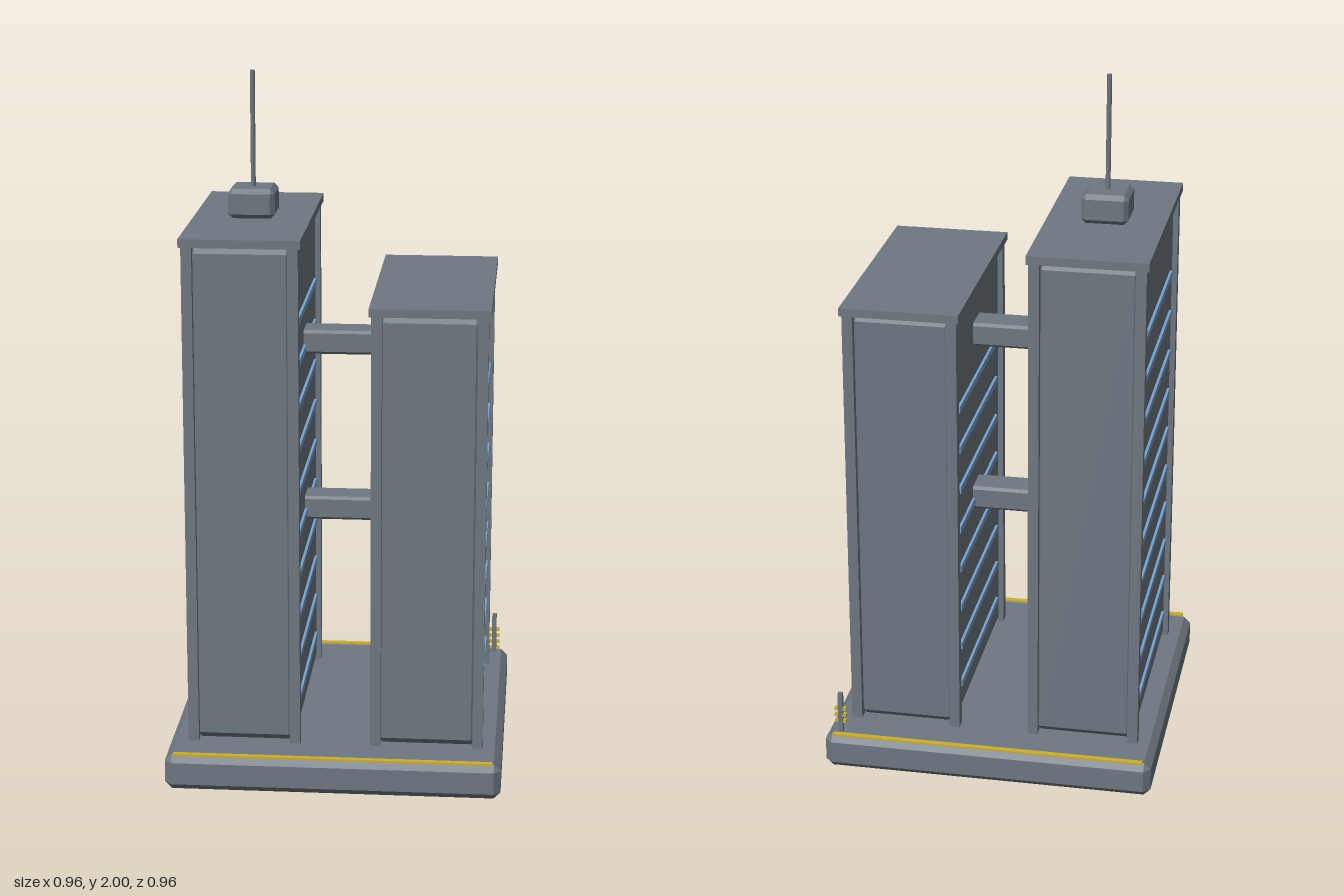
import * as THREE from 'three';
import { ConvexGeometry } from 'three/addons/geometries/ConvexGeometry.js';

const concrete = new THREE.MeshStandardMaterial({ color: 0x6e7781 });
concrete.name = 'concrete grey';
const glass = new THREE.MeshStandardMaterial({ color: 0x78a2cf });
glass.name = 'window blue';
const yellow = new THREE.MeshStandardMaterial({ color: 0xc9ae3c });
yellow.name = 'safety yellow';

function place(parent, name, geometry, material, x, y, z) {
  const mesh = new THREE.Mesh(geometry, material);
  mesh.name = name;
  mesh.position.set(x, y, z);
  parent.add(mesh);
  return mesh;
}

function box(parent, name, material, w, h, d, x, y, z) {
  return place(parent, name, new THREE.BoxGeometry(w, h, d), material, x, y, z);
}

// Box with every edge cut at 45 degrees by c
function chamferBox(w, h, d, c) {
  const points = [];
  for (const sx of [-1, 1]) for (const sy of [-1, 1]) for (const sz of [-1, 1]) {
    const [x, y, z] = [w / 2, h / 2, d / 2];
    points.push(
      new THREE.Vector3(sx * x, sy * (y - c), sz * (z - c)),
      new THREE.Vector3(sx * (x - c), sy * y, sz * (z - c)),
      new THREE.Vector3(sx * (x - c), sy * (y - c), sz * z));
  }
  return new ConvexGeometry(points);
}

const BASE_TOP = 0.105;

// Tower: chamfered core, corner columns, flat roof and window bands on both long sides
function makeTower(name, x, top, bands) {
  const tower = new THREE.Group();
  tower.name = name;
  tower.position.x = x;
  const roofH = 0.024;
  const h = top - roofH - BASE_TOP;
  const midY = BASE_TOP + h / 2;
  place(tower, 'towerCore', chamferBox(0.294, h, 0.682, 0.02), concrete, 0, midY, 0);
  box(tower, 'roofSlab', concrete, 0.338, roofH, 0.724, 0, top - roofH / 2, 0);
  for (const sx of [-1, 1]) {
    for (const sz of [-1, 1]) {
      box(tower, 'cornerColumn', concrete, 0.03, h, 0.032, sx * 0.147, midY, sz * 0.341);
    }
    for (let i = 0; i < bands; i++) {
      box(tower, 'windowBand', glass, 0.009, 0.02, 0.55, sx * 0.15, 0.205 + i * 0.125, 0);
    }
  }
  return tower;
}

export function createModel() {
  const model = new THREE.Group();
  model.name = 'twinTowers';

  // Base with yellow edge strips at front and back
  place(model, 'base', chamferBox(0.96, BASE_TOP, 0.96, 0.02), concrete, 0, BASE_TOP / 2, 0);
  for (const s of [-1, 1]) {
    box(model, 'edgeStrip', yellow, 0.91, 0.007, 0.016, 0, BASE_TOP + 0.003, s * 0.468);
  }

  // Towers
  model.add(makeTower('tallTower', -0.263, 1.583, 10));
  model.add(makeTower('shortTower', 0.263, 1.397, 8));

  // Bridges between the towers
  const bridge = chamferBox(0.25, 0.07, 0.1, 0.008);
  place(model, 'upperBridge', bridge, concrete, 0, 1.222, 0);
  place(model, 'lowerBridge', bridge, concrete, 0, 0.715, -0.02);

  // Rooftop block and mast
  place(model, 'roofBlock', chamferBox(0.134, 0.085, 0.134, 0.013), concrete, -0.263, 1.626, 0);
  place(model, 'mast', new THREE.CylinderGeometry(0.007, 0.007, 0.34, 8), concrete, -0.263, 1.83, 0);

  // Small post with yellow crossbars at the back corner
  const post = new THREE.Group();
  post.name = 'markerPost';
  post.position.set(0.438, BASE_TOP, -0.44);
  box(post, 'post', concrete, 0.014, 0.125, 0.014, 0, 0.0625, 0);
  for (let i = 0; i < 3; i++) {
    box(post, 'crossbar', yellow, 0.034, 0.009, 0.012, 0, 0.034 + i * 0.02, 0);
  }
  model.add(post);

  return model;
}
